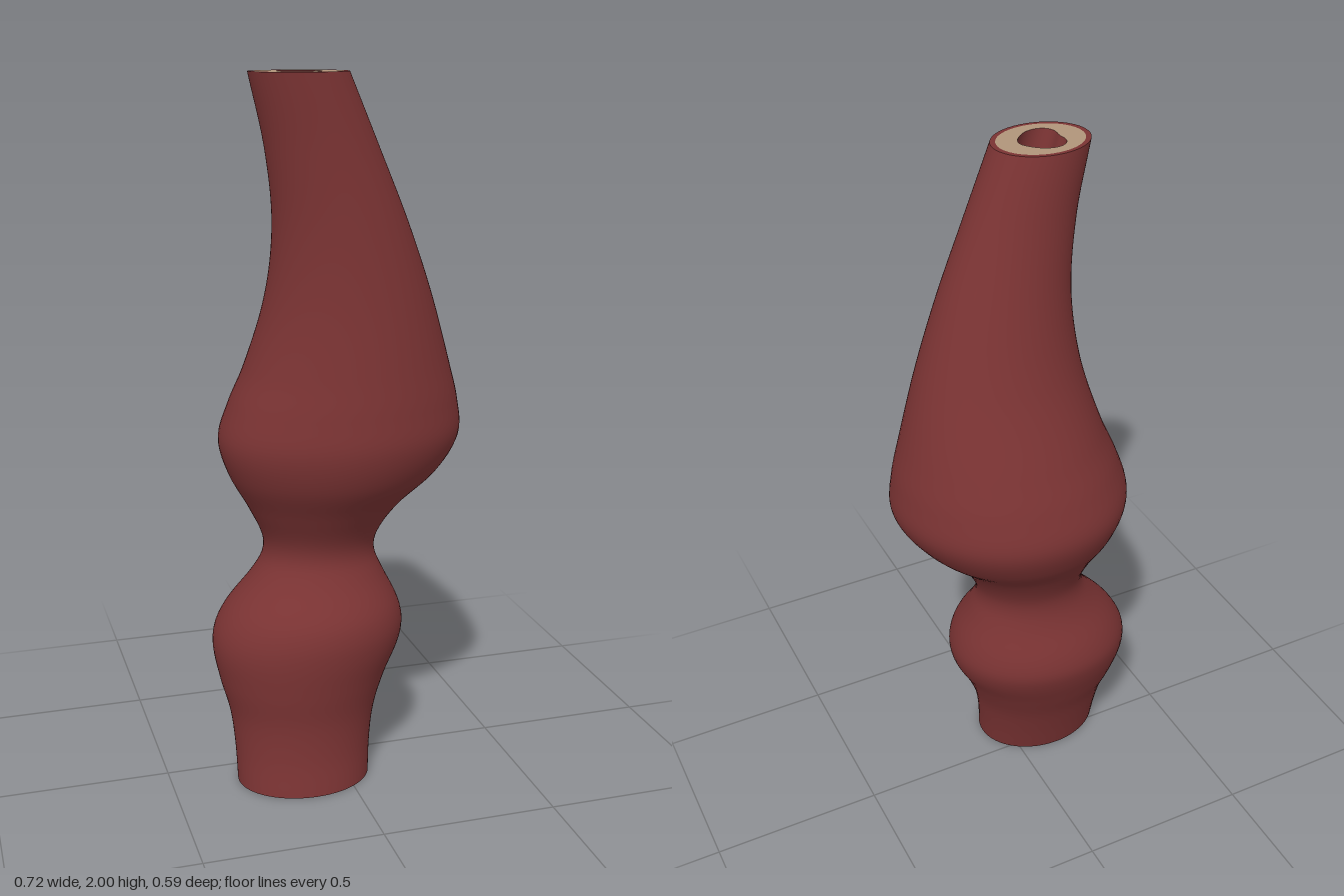
import * as THREE from 'three';

// Vessel outline: height, then left, right, back and front extents
const PROFILE = [
  [0.0, -0.31, 0.075, -0.05, 0.257], [0.1, -0.311, 0.086, -0.08, 0.241],
  [0.2, -0.32, 0.105, -0.115, 0.238], [0.3, -0.345, 0.142, -0.16, 0.25],
  [0.4, -0.36, 0.19, -0.2, 0.26], [0.45, -0.35, 0.198, -0.21, 0.258],
  [0.5, -0.322, 0.187, -0.2, 0.243], [0.6, -0.237, 0.14, -0.152, 0.172],
  [0.65, -0.207, 0.121, -0.138, 0.147], [0.7, -0.204, 0.125, -0.14, 0.148],
  [0.8, -0.248, 0.187, -0.187, 0.2], [0.9, -0.303, 0.295, -0.257, 0.266],
  [1.0, -0.33, 0.356, -0.293, 0.295], [1.1, -0.302, 0.35, -0.268, 0.287],
  [1.2, -0.26, 0.325, -0.225, 0.272], [1.4, -0.203, 0.265, -0.135, 0.245],
  [1.6, -0.185, 0.19, -0.072, 0.226], [1.8, -0.207, 0.103, -0.028, 0.215],
  [2.0, -0.253, 0.015, -0.003, 0.213],
];
const SIDES = 72, ROWS = 120;
const spline = new THREE.CubicInterpolant(
  PROFILE.map((p) => p[0]), PROFILE.flatMap((p) => p.slice(1)), 4);

// One closed loop at height y; scale(angle) is the fraction of the outer radius
function loop(y, scale) {
  const [x0, x1, z0, z1] = spline.evaluate(y);
  const rx = (x1 - x0) / 2, rz = (z1 - z0) / 2;
  const lean = 0.03 * Math.exp(-(((y - 1) / 0.25) ** 2));
  return Array.from({ length: SIDES }, (_, j) => {
    const a = (j / SIDES) * Math.PI * 2, s = scale(a);
    return [
      (x0 + x1) / 2 + rx * s * Math.cos(a),
      y,
      (z0 + z1) / 2 + rz * s * Math.sin(a) + lean * Math.cos(a) ** 4,
    ];
  });
}

// Smooth skin through a list of loops
function skin(loops, material, name) {
  const index = [];
  for (let i = 0; i < loops.length - 1; i++) {
    for (let j = 0; j < SIDES; j++) {
      const k = (j + 1) % SIDES;
      const a = i * SIDES + j, c = i * SIDES + k, b = a + SIDES, d = c + SIDES;
      index.push(a, b, c, b, d, c);
    }
  }
  const geometry = new THREE.BufferGeometry();
  geometry.setAttribute('position', new THREE.Float32BufferAttribute(loops.flat(2), 3));
  geometry.setIndex(index);
  geometry.computeVertexNormals();
  const mesh = new THREE.Mesh(geometry, material);
  mesh.name = name;
  return mesh;
}

export function createModel() {
  const red = new THREE.MeshStandardMaterial({ color: 0x7a3333 });
  red.name = 'vessel red';
  const tan = new THREE.MeshStandardMaterial({ color: 0xb0947a });
  tan.name = 'wall tan';

  const outer = () => 1;
  const rim = () => 0.89;
  // Rounded three-cornered channel
  const lumen = (a) => 0.507 - 0.017 * Math.cos(a) - 0.077 * Math.cos(2 * a) + 0.047 * Math.cos(3 * a);

  const heights = Array.from({ length: ROWS + 1 }, (_, i) => (2 * i) / ROWS);
  const model = new THREE.Group();
  model.name = 'vessel';

  // Outside and the channel through the middle
  model.add(skin(heights.map((y) => loop(y, outer)), red, 'outerWall'));
  model.add(skin(heights.map((y) => loop(y, lumen)).reverse(), red, 'innerChannel'));

  // Cut ends: thin red rim around a tan wall
  for (const [y, end] of [[2, 'top'], [0, 'bottom']]) {
    const cut = (from, to, material, name) => {
      const loops = [loop(y, from), loop(y, to)];
      model.add(skin(y > 0 ? loops : loops.reverse(), material, name));
    };
    cut(outer, rim, red, end + 'Rim');
    cut(rim, lumen, tan, end + 'WallSection');
  }
  return model;
}
